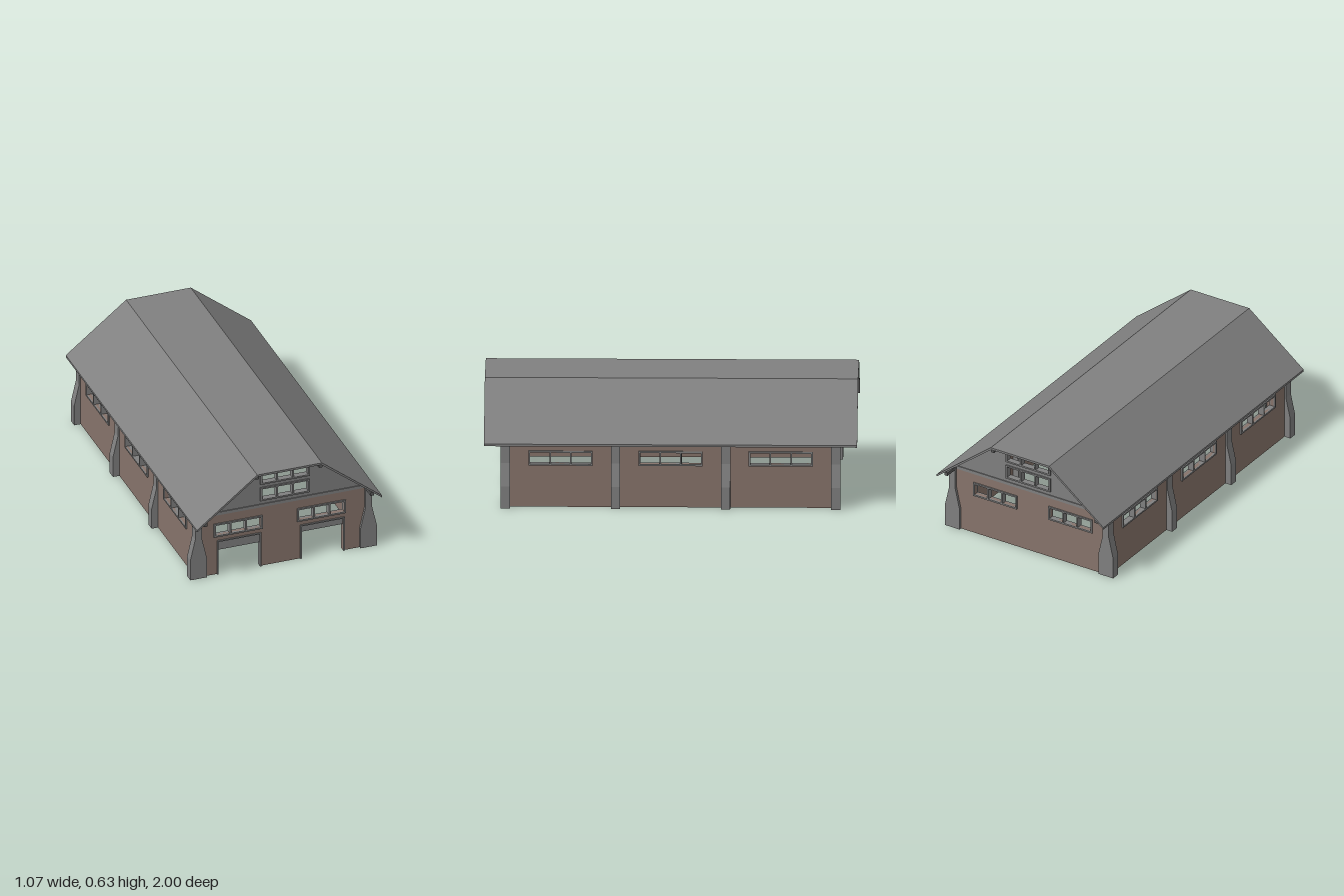
import * as THREE from 'three';

const mat = (name, color) => Object.assign(new THREE.MeshStandardMaterial({ color }), { name });

export function createModel() {
  const concrete = mat('concrete grey', 0x808080);
  const brick = mat('brick brown', 0x87746b);
  const timber = mat('dark timber', 0x5a5a5a);

  const model = new THREE.Group();
  model.name = 'barn';

  const add = (parent, name, geo, material, x = 0, y = 0, z = 0) => {
    const mesh = new THREE.Mesh(geo, material);
    mesh.name = name;
    mesh.position.set(x, y, z);
    parent.add(mesh);
    return mesh;
  };
  const poly = (pts) => pts.map(([x, y]) => new THREE.Vector2(x, y));
  const rect = ([x0, y0, x1, y1]) => poly([[x0, y0], [x1, y0], [x1, y1], [x0, y1]]);

  // Flat panel with holes, extruded and centred on its own plane
  const panel = (outline, holes, depth) => {
    const shape = new THREE.Shape(outline);
    for (const h of holes) shape.holes.push(new THREE.Path(rect(h)));
    return new THREE.ExtrudeGeometry(shape, { depth, bevelEnabled: false }).translate(0, 0, -depth / 2);
  };

  // Three-pane open window frame around the opening
  const windowFrame = (parent, [x0, y0, x1, y1]) => {
    const border = 0.009, bar = 0.008, w = (x1 - x0 - 2 * bar) / 3;
    const panes = [0, 1, 2].map((i) => {
      const a = x0 + i * (w + bar);
      return [a, y0, a + w, y1];
    });
    const outer = rect([x0 - border, y0 - border, x1 + border, y1 + border]);
    add(parent, 'windowFrame', panel(outer, panes, 0.036), concrete);
  };

  const T = 0.02;
  const endZ = 0.885, sideX = 0.487, wallTop = 0.366;

  // Roof: flat ridge with two slopes
  const roofOutline = poly([
    [-0.53, 0.357], [-0.185, 0.63], [0.185, 0.63], [0.53, 0.357],
    [0.53, 0.345], [0.182, 0.618], [-0.182, 0.618], [-0.53, 0.345],
  ].reverse());
  add(model, 'roof', panel(roofOutline, [], 2), concrete);

  // End walls with windows; the front one has two open doorways
  const endWindows = [[-0.386, 0.24, -0.126, 0.303], [0.091, 0.24, 0.351, 0.303]];
  const gableWindows = [[-0.12, 0.513, 0.143, 0.574], [-0.12, 0.412, 0.143, 0.475]];
  const doors = [
    { x0: -0.37, x1: -0.132, shutter: 0.145 },
    { x0: 0.107, x1: 0.345, shutter: 0.16 },
  ];
  const doorTop = 0.2;

  for (const side of [1, -1]) {
    const end = new THREE.Group();
    end.name = side > 0 ? 'frontEnd' : 'backEnd';
    end.position.z = side * endZ;
    model.add(end);

    const base = [[-sideX, 0]];
    if (side > 0) {
      for (const d of doors) base.push([d.x0, 0], [d.x0, doorTop], [d.x1, doorTop], [d.x1, 0]);
    }
    base.push([sideX, 0], [sideX, wallTop], [-sideX, wallTop]);
    add(end, 'endWall', panel(poly(base), endWindows, T), brick);

    const gable = poly([[-0.495, wallTop], [0.495, wallTop], [0.182, 0.62], [-0.182, 0.62]]);
    add(end, 'gable', panel(gable, gableWindows, T), concrete);
    add(end, 'gableSill', new THREE.BoxGeometry(0.95, 0.018, 0.03), concrete, 0, 0.373, 0);
    [...endWindows, ...gableWindows].forEach((w) => windowFrame(end, w));

    // Door frames and partly rolled-up shutters
    if (side > 0) {
      for (const { x0, x1, shutter } of doors) {
        const b = 0.007;
        const frame = poly([
          [x0 - b, 0], [x0, 0], [x0, doorTop], [x1, doorTop], [x1, 0],
          [x1 + b, 0], [x1 + b, doorTop + b], [x0 - b, doorTop + b],
        ]);
        add(end, 'doorFrame', panel(frame, [], 0.036), concrete);
        add(end, 'doorShutter', new THREE.BoxGeometry(x1 - x0, doorTop - shutter, 0.01),
          concrete, (x0 + x1) / 2, (doorTop + shutter) / 2, 0);
      }
    }
  }

  // Side walls with three windows each
  const sideWindows = [-0.59, 0, 0.59].map((c) => [c - 0.163, 0.24, c + 0.163, 0.303]);
  for (const side of [1, -1]) {
    const wall = new THREE.Group();
    wall.name = side > 0 ? 'leftSide' : 'rightSide';
    wall.position.x = side * sideX;
    wall.rotation.y = Math.PI / 2;
    model.add(wall);
    add(wall, 'sideWall', panel(rect([-endZ, 0, endZ, wallTop]), sideWindows, T), brick);
    sideWindows.forEach((w) => windowFrame(wall, w));
  }

  // Buttress pillars, wide at the foot and narrow at the top
  const pillarOutline = poly([
    [-0.047, 0], [0.047, 0], [0.047, 0.122], [0.019, 0.245],
    [0.019, 0.366], [-0.019, 0.376], [-0.019, 0.245], [-0.047, 0.122],
  ]);
  for (const side of [1, -1]) {
    for (const z of [-0.885, -0.295, 0.295, 0.885]) {
      const p = add(model, 'pillar', panel(pillarOutline, [], 0.05), concrete, side * sideX, 0, z);
      if (side < 0) p.rotation.y = Math.PI;
    }
    // Purlins under the ridge corners and above the eaves
    for (const [x, y] of [[0.181, 0.606], [0.476, 0.372]]) {
      add(model, 'purlin', new THREE.BoxGeometry(0.02, 0.019, 1.98), timber, side * x, y, 0);
    }
  }
  return model;
}
